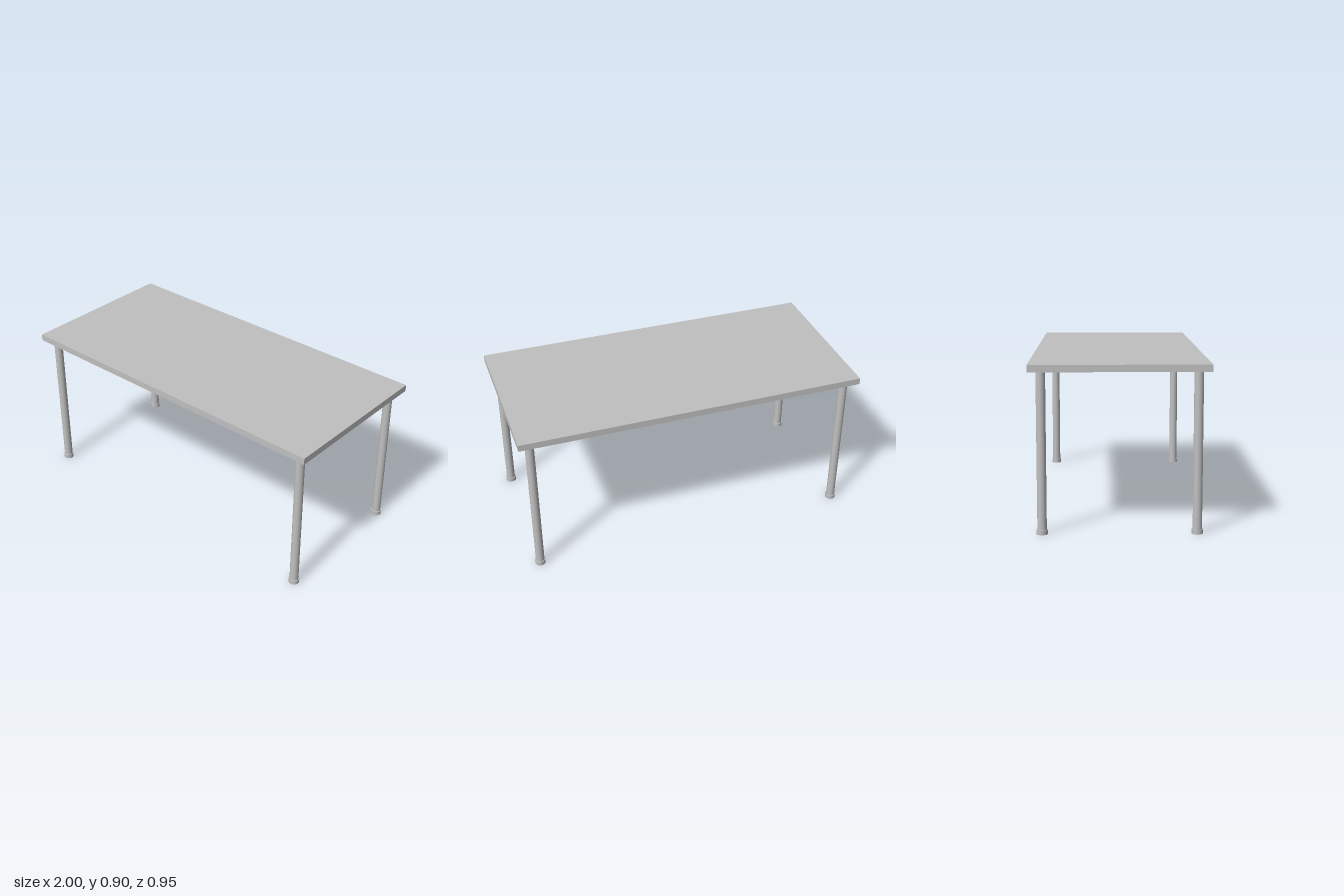
import * as THREE from 'three';

const TOP_Y = 0.905, TOP_THICK = 0.038;
const LEG_X = 0.93, LEG_Z = 0.41, LEG_R = 0.025;
const FOOT_R = 0.03, FOOT_H = 0.025;

export function createModel() {
  const model = new THREE.Group();
  model.name = 'table';

  const grey = new THREE.MeshStandardMaterial({ color: 0xc0c0c0 });
  grey.name = 'light grey';

  const add = (parent, name, geometry, y) => {
    const mesh = new THREE.Mesh(geometry, grey);
    mesh.name = name;
    mesh.position.y = y;
    parent.add(mesh);
  };

  // Flat slab top
  const under = TOP_Y - TOP_THICK;
  add(model, 'tableTop', new THREE.BoxGeometry(2, TOP_THICK, 0.95), under + TOP_THICK / 2);

  // Four round legs, each on a slightly wider foot
  const legHeight = under - FOOT_H;
  const legGeometry = new THREE.CylinderGeometry(LEG_R, LEG_R, legHeight, 32);
  const footGeometry = new THREE.CylinderGeometry(FOOT_R, FOOT_R, FOOT_H, 32);
  for (const [zName, sz] of [['front', 1], ['back', -1]]) {
    for (const [xName, sx] of [['Left', 1], ['Right', -1]]) {
      const leg = new THREE.Group();
      leg.name = `${zName}${xName}Leg`;
      leg.position.set(sx * LEG_X, 0, sz * LEG_Z);
      add(leg, 'legTube', legGeometry, FOOT_H + legHeight / 2);
      add(leg, 'foot', footGeometry, FOOT_H / 2);
      model.add(leg);
    }
  }
  return model;
}
